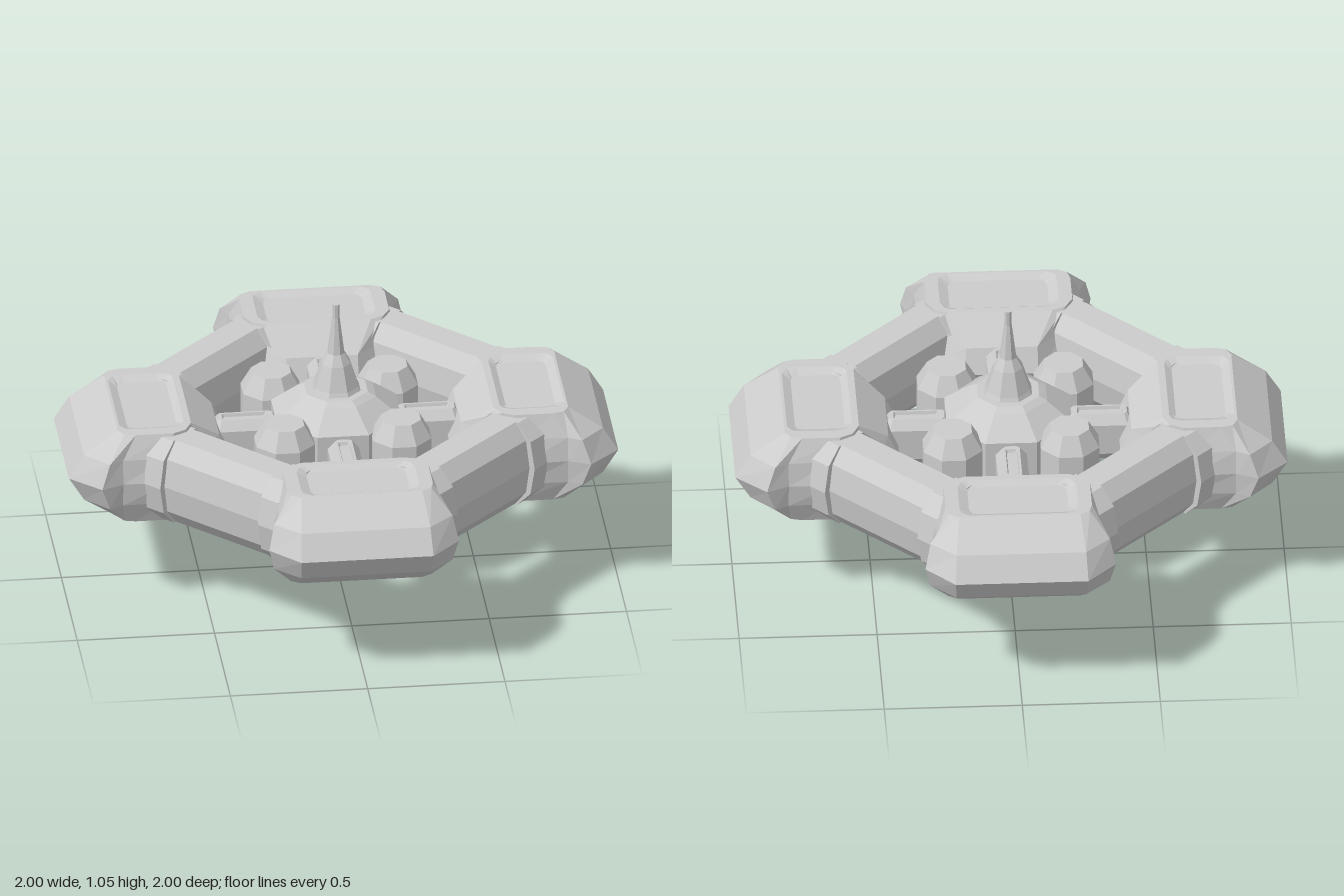
import * as THREE from 'three';

const MID = 0.525; // height of the station's plane of symmetry
const material = new THREE.MeshStandardMaterial({ color: 0xcccccc, flatShading: true });

function add(parent, name, geometry) {
  const mesh = new THREE.Mesh(geometry, material);
  mesh.name = name;
  parent.add(mesh);
  return mesh;
}

// Level cross-section from its right half [x, z], mirrored to the left
const section = (y, half) => [
  ...half.map(([x, z]) => [x, y, z]),
  ...half.slice().reverse().map(([x, z]) => [-x, y, z]),
];

// Skin through level sections, bottom to top, closed with flat caps
function loft(rings) {
  const pos = [], n = rings[0].length;
  const centre = (r) => [0, r[0][1], r.reduce((s, p) => s + p[2], 0) / n];
  const last = rings[rings.length - 1];
  for (let i = 0; i < n; i++) {
    const j = (i + 1) % n;
    for (let k = 0; k + 1 < rings.length; k++) {
      const a = rings[k], b = rings[k + 1];
      pos.push(...a[i], ...b[i], ...a[j], ...a[j], ...b[i], ...b[j]);
    }
    pos.push(...centre(last), ...last[j], ...last[i]);
    pos.push(...centre(rings[0]), ...rings[0][i], ...rings[0][j]);
  }
  const g = new THREE.BufferGeometry();
  g.setAttribute('position', new THREE.Float32BufferAttribute(pos, 3));
  g.computeVertexNormals();
  return g;
}

// Loft that is the same above and below the mid plane; levels are [height, half]
function mirroredLoft(levels) {
  const up = levels.map(([h, half]) => section(MID + h, half));
  const down = levels.slice(1).reverse().map(([h, half]) => section(MID - h, half));
  return loft([...down, ...up]);
}

// Eight-sided turned part
function turned(points) {
  const g = new THREE.LatheGeometry(points.map(([r, y]) => new THREE.Vector2(r, y)), 8);
  return g.rotateY(Math.PI / 8);
}

// Faceted beam along x, centred on the origin
function beam(width, length) {
  const quarter = [[1, 0], [0.86, 0.105], [0.45, 0.165]];
  const right = [...quarter.slice(1).reverse().map(([u, y]) => [u, -y]), ...quarter];
  right.reverse();
  const all = [...right, ...right.slice().reverse().map(([u, y]) => [-u, y])];
  const shape = new THREE.Shape(all.map(([u, y]) => new THREE.Vector2(u * width, y)));
  const g = new THREE.ExtrudeGeometry(shape, { depth: length, bevelEnabled: false });
  return g.translate(0, 0, -length / 2).rotateY(Math.PI / 2);
}

function podGeometry() {
  return mirroredLoft([
    [0, [[0.13, 0.4], [0.245, 0.5], [0.315, 0.64], [0.31, 0.81], [0.345, 0.89], [0.24, 1]]],
    [0.09, [[0.13, 0.44], [0.235, 0.54], [0.295, 0.65], [0.3, 0.81], [0.325, 0.86], [0.235, 0.945]]],
    [0.175, [[0.19, 0.55], [0.24, 0.575], [0.265, 0.62], [0.265, 0.76], [0.255, 0.8], [0.22, 0.82]]],
    // shallow sunken panel
    [0.175, [[0.18, 0.575], [0.2, 0.585], [0.215, 0.62], [0.215, 0.76], [0.21, 0.79], [0.18, 0.81]]],
    [0.16, [[0.15, 0.6], [0.17, 0.605], [0.18, 0.63], [0.18, 0.75], [0.17, 0.775], [0.15, 0.78]]],
  ]);
}

function strutGeometry() {
  const box = (w, z0, z1, c) => [[w - c, z0], [w, z0 + c], [w, z1 - c], [w - c, z1]];
  return mirroredLoft([
    [0, box(0.057, 0.21, 0.45, 0.02)],
    [0.06, box(0.057, 0.21, 0.45, 0.02)],
    [0.095, box(0.03, 0.23, 0.43, 0.01)],
    [0.095, box(0.022, 0.25, 0.415, 0.005)],
    [0.083, box(0.018, 0.255, 0.41, 0.005)],
  ]);
}

export function createModel() {
  const station = new THREE.Group();
  station.name = 'spaceStation';

  // Central hub with antennas above and below
  add(station, 'hub', turned([
    [0, 0.335], [0.12, 0.335], [0.15, 0.35], [0.245, 0.42], [0.245, 0.63], [0.15, 0.7], [0.12, 0.715], [0, 0.715],
  ]));
  add(station, 'upperAntenna', turned([
    [0.1, 0.7], [0.085, 0.73], [0.055, 0.82], [0.032, 0.86], [0.014, 1.0], [0.014, 1.055], [0, 1.055],
  ]));
  add(station, 'lowerAntenna', turned([
    [0, 0], [0.014, 0], [0.026, 0.2], [0.042, 0.24], [0.085, 0.34], [0.1, 0.36],
  ]));

  const pod = podGeometry(), strut = strutGeometry();
  const tube = beam(0.118, 0.6), collar = beam(0.142, 0.08);
  const moduleShape = turned([
    [0, 0.36], [0.075, 0.36], [0.115, 0.43], [0.115, 0.62], [0.075, 0.69], [0, 0.69],
  ]);

  // Four identical quarters
  for (let q = 0; q < 4; q++) {
    const quarter = new THREE.Group();
    quarter.name = 'quarter' + (q + 1);
    quarter.rotation.y = (q * Math.PI) / 2;
    station.add(quarter);
    add(quarter, 'pod', pod);
    add(quarter, 'strut', strut);

    // Parts on the diagonal: ring tube, its end collars and an inner module
    const diagonal = new THREE.Group();
    diagonal.name = 'diagonal';
    diagonal.rotation.y = Math.PI / 4;
    quarter.add(diagonal);
    add(diagonal, 'ringTube', tube).position.set(0, MID, 0.597);
    for (const s of [-1, 1]) add(diagonal, 'tubeCollar', collar).position.set(s * 0.265, MID, 0.597);
    add(diagonal, 'innerModule', moduleShape).position.z = 0.3;
  }
  return station;
}
